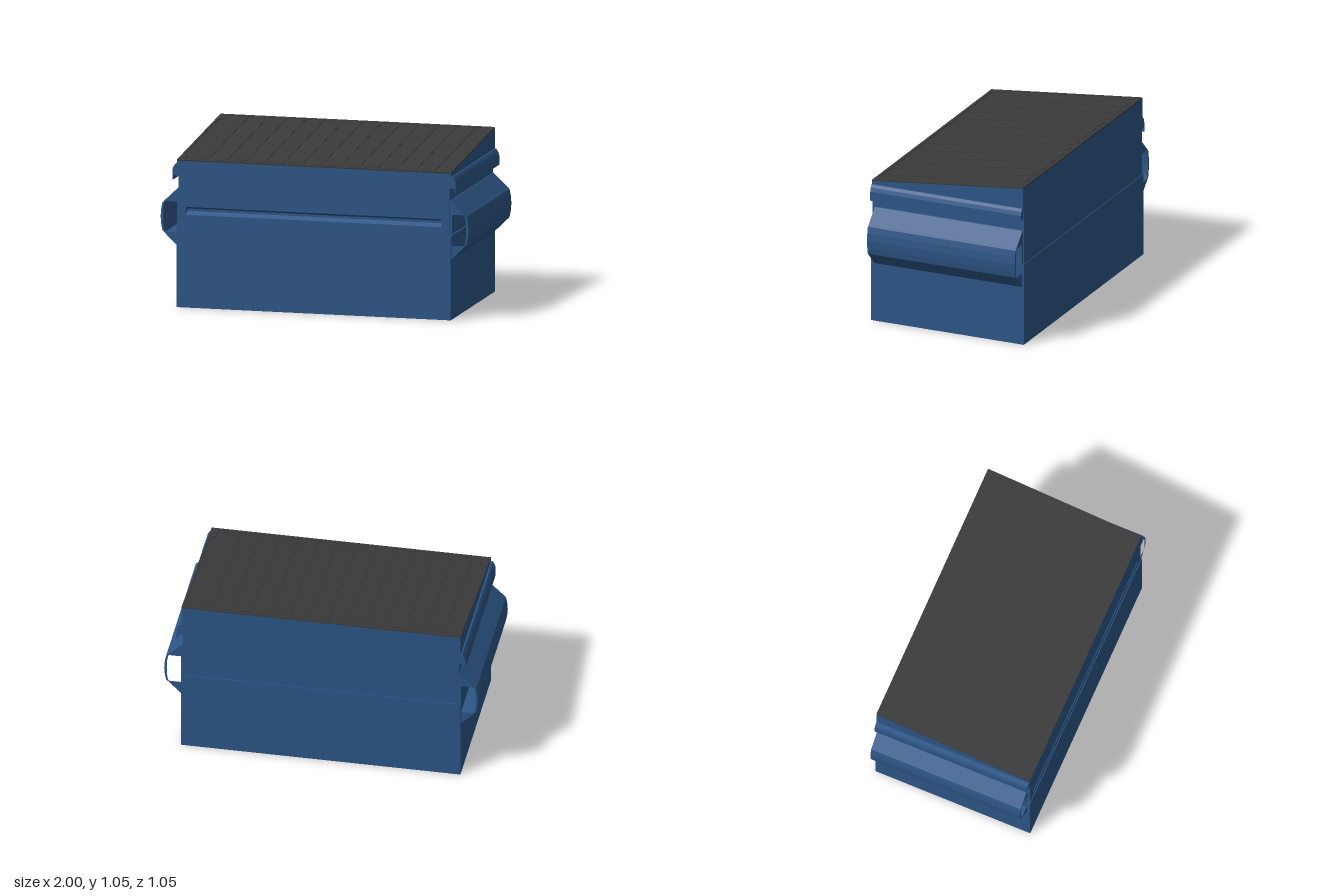
import * as THREE from 'three';

const bluePaint = new THREE.MeshStandardMaterial({ color: 0x2d5687 });
bluePaint.name = 'bluePaint';
const darkPlastic = new THREE.MeshStandardMaterial({ color: 0x3a3a3a });
darkPlastic.name = 'darkPlastic';

const HALF_W = 0.89;
const FRONT_TOP = 0.932, BACK_TOP = 1.042, HALF_D = 0.522;

function toShape(points) {
  return new THREE.Shape(points.map(([x, y]) => new THREE.Vector2(x, y)));
}

function addMesh(parent, name, geometry, material) {
  const mesh = new THREE.Mesh(geometry, material);
  mesh.name = name;
  parent.add(mesh);
  return mesh;
}

// Extrude an (x, y) profile along z, from z0 to z1
function alongZ(shape, z0, z1) {
  return new THREE.ExtrudeGeometry(shape, { depth: z1 - z0, bevelEnabled: false }).translate(0, 0, z0);
}

// Extrude a (z, y) profile along x, from x0 to x1
function alongX(points, x0, x1) {
  return new THREE.ExtrudeGeometry(toShape(points), { depth: x1 - x0, bevelEnabled: false })
    .rotateY(-Math.PI / 2).translate(x1, 0, 0);
}

function box(w, h, d, x, y, z) {
  return new THREE.BoxGeometry(w, h, d).translate(x, y, z);
}

function createBody() {
  const body = new THREE.Group();
  body.name = 'body';
  addMesh(body, 'lowerBin', box(2 * HALF_W, 0.535, 1.054, 0, 0.2675, 0), bluePaint);

  // Upper walls, with a V-shaped groove pressed into the front
  const plain = [[-HALF_D, 0.53], [HALF_D, 0.53], [HALF_D, 0.915], [-HALF_D, 0.915]];
  const grooved = [[-HALF_D, 0.53], [HALF_D, 0.53], [HALF_D, 0.59], [HALF_D - 0.03, 0.61],
    [HALF_D - 0.03, 0.625], [HALF_D, 0.64], [HALF_D, 0.915], [-HALF_D, 0.915]];
  addMesh(body, 'upperBinMiddle', alongX(grooved, -0.83, 0.83), bluePaint);
  addMesh(body, 'upperBinRight', alongX(plain, -0.88, -0.83), bluePaint);
  addMesh(body, 'upperBinLeft', alongX(plain, 0.83, 0.88), bluePaint);

  // Sloping top section that carries the lid
  const slope = [[-HALF_D, 0.91], [HALF_D, 0.91], [HALF_D, FRONT_TOP], [-HALF_D, BACK_TOP]];
  addMesh(body, 'slopedTop', alongX(slope, -HALF_W, HALF_W), bluePaint);
  return body;
}

// Hooked rail and hollow fork sleeve on one side
function createSide(s) {
  const side = new THREE.Group();
  side.name = s > 0 ? 'leftSide' : 'rightSide';
  const profile = (pts) => pts.map(([x, y]) => [s * x, y]);

  const rail = [[0.87, 0.912], [0.9, 0.912], [0.912, 0.895], [0.92, 0.87], [0.92, 0.81],
    [0.914, 0.81], [0.914, 0.838], [0.87, 0.838]];
  addMesh(side, 'sideRail', alongZ(toShape(profile(rail)), -0.52, 0.52), bluePaint);

  const sleeve = toShape(profile([[0.87, 0.765], [0.885, 0.758], [0.975, 0.672], [0.988, 0.66],
    [0.996, 0.62], [1, 0.57], [0.996, 0.52], [0.988, 0.48], [0.975, 0.468], [0.885, 0.38], [0.87, 0.38]]));
  const opening = profile([[0.892, 0.668], [0.972, 0.668], [0.98, 0.64], [0.984, 0.57],
    [0.98, 0.5], [0.972, 0.472], [0.892, 0.472]]);
  sleeve.holes.push(new THREE.Path(opening.map(([x, y]) => new THREE.Vector2(x, y))));
  addMesh(side, 'forkSleeve', alongZ(sleeve, -0.515, 0.505), bluePaint);
  return side;
}

// Thin ribbed lid, modelled flat and then tilted
function createLid() {
  const lid = new THREE.Group();
  lid.name = 'lid';
  const rise = BACK_TOP - FRONT_TOP;
  const d = Math.hypot(rise, 2 * HALF_D) / 2;

  addMesh(lid, 'lidPanel', box(2 * HALF_W, 0.003, 2 * d, 0, 0.0015, 0), darkPlastic);

  // Raised border with notched corners
  const rim = toShape([[-HALF_W, -d], [HALF_W, -d], [HALF_W, d], [-HALF_W, d]]);
  const inner = [[-0.875, -0.39], [-0.845, -0.42], [-0.845, -0.5], [0.845, -0.5], [0.845, -0.42], [0.875, -0.39],
    [0.875, 0.39], [0.845, 0.42], [0.845, 0.5], [-0.845, 0.5], [-0.845, 0.42], [-0.875, 0.39]];
  rim.holes.push(new THREE.Path(inner.map(([x, y]) => new THREE.Vector2(x, y))));
  addMesh(lid, 'lidRim', alongZ(rim, 0, 0.007).rotateX(-Math.PI / 2), darkPlastic);

  for (let i = -6; i <= 6; i++) {
    addMesh(lid, 'lidRib', box(0.08, 0.007, 0.98, i * 0.123, 0.0035, 0), darkPlastic);
  }
  lid.position.y = (FRONT_TOP + BACK_TOP) / 2;
  lid.rotation.x = Math.atan2(rise, 2 * HALF_D);
  return lid;
}

export function createModel() {
  const model = new THREE.Group();
  model.name = 'wasteContainer';
  model.add(createBody(), createSide(1), createSide(-1), createLid());
  return model;
}
